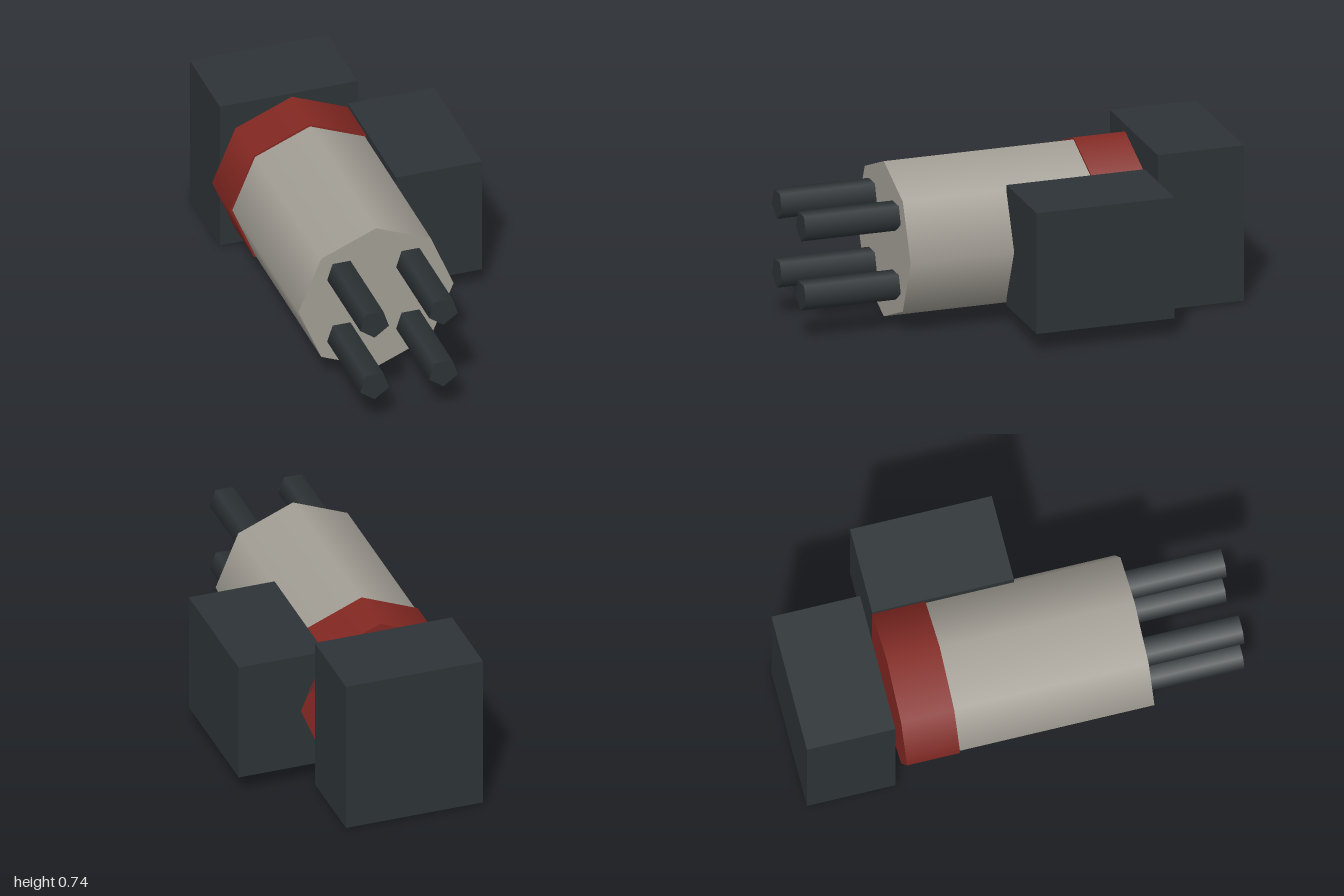
import * as THREE from 'three';

const material = (color) => new THREE.MeshStandardMaterial({ color });

export function createModel() {
  const model = new THREE.Group();
  const dark = material(0x2d3336);
  const grey = material(0xa39f96);
  const red = material(0x842822);
  const cx = -0.145, cy = 0.373; // axis of the barrel

  const add = (name, geometry, mat, x, y, z) => {
    const mesh = new THREE.Mesh(geometry, mat);
    mesh.name = name;
    mesh.position.set(x, y, z);
    model.add(mesh);
  };

  // Cylinder lying along z between two depths
  const rod = (name, radius, sides, z0, z1, mat, x, y) => {
    const geometry = new THREE.CylinderGeometry(radius, radius, z1 - z0, sides);
    geometry.rotateX(Math.PI / 2);
    add(name, geometry, mat, x, y, (z0 + z1) / 2);
  };

  // Eight-sided barrel and the band round its rear end
  rod('barrel', 0.36, 8, -0.558, 0.56, grey, cx, cy);
  rod('rearBand', 0.37, 8, -0.56, -0.32, red, cx, cy);

  // Four five-sided prongs at the front
  for (const sx of [-1, 1]) {
    for (const sy of [-1, 1]) {
      rod('prong', 0.07, 5, 0.52, 1, dark, cx + sx * 0.16, cy + sy * 0.16);
    }
  }

  // Separate block behind the barrel and block on its left side
  add('rearBlock', new THREE.BoxGeometry(0.64, 0.72, 0.4), dark, cx, 0.373, -0.8);
  add('sideBlock', new THREE.BoxGeometry(0.4, 0.56, 0.64), dark, 0.315, 0.373, -0.24);

  return model;
}
